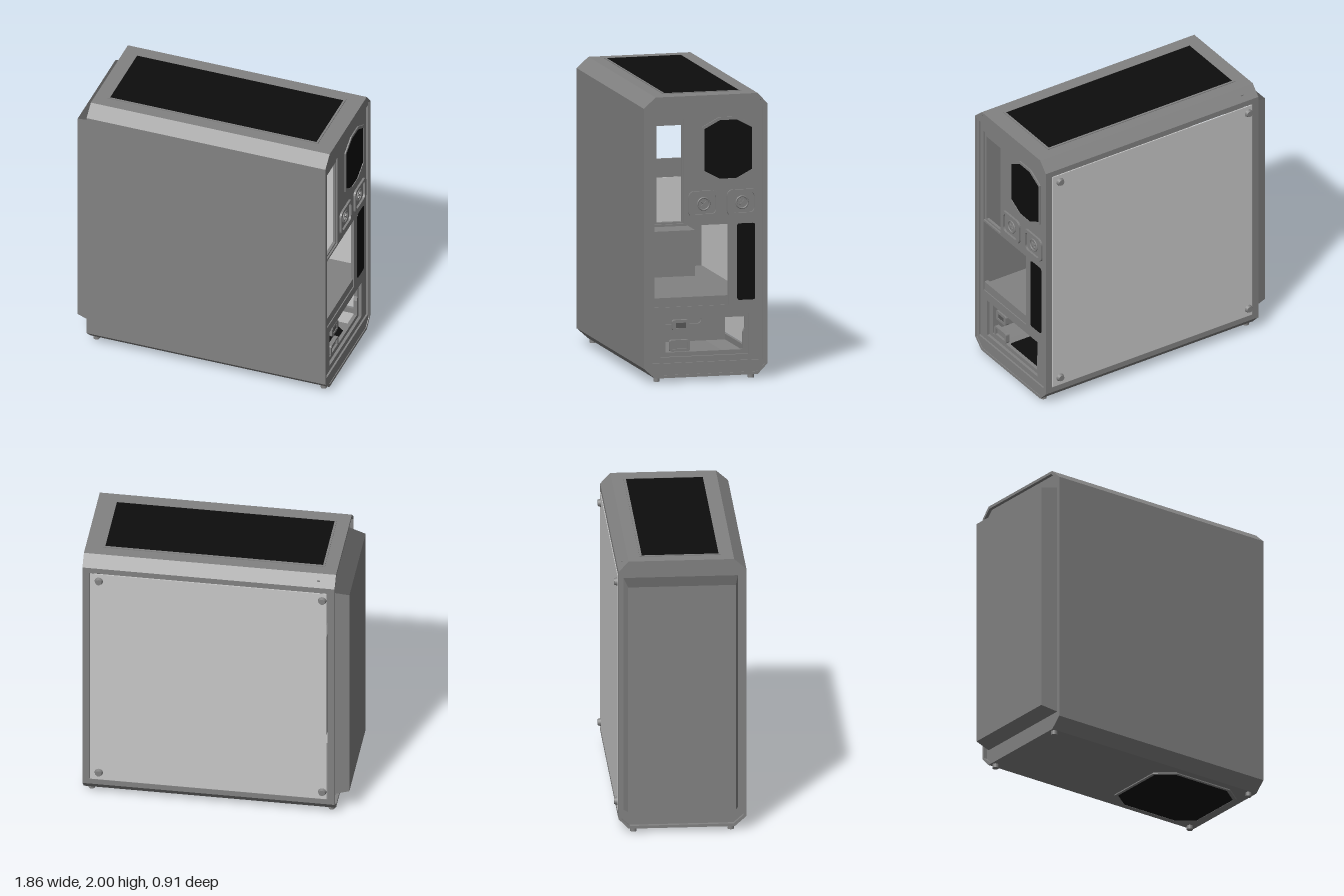
import * as THREE from 'three';

const flat = (name, color) => Object.assign(new THREE.MeshStandardMaterial({ color }), { name });

export function createModel() {
  const grey = flat('case grey', 0x828282);
  const dark = flat('dark vent grey', 0x585858);
  const black = flat('black mesh', 0x0d0d0d);
  const light = flat('side window', 0xc8c8c8);
  const model = new THREE.Group();
  model.name = 'computerCase';

  const add = (name, geo, mat, x = 0, y = 0, z = 0) => {
    const m = new THREE.Mesh(geo, mat);
    m.name = name;
    m.position.set(x, y, z);
    model.add(m);
    return m;
  };
  const box = (name, mat, x0, x1, y0, y1, z0, z1) =>
    add(name, new THREE.BoxGeometry(x1 - x0, y1 - y0, z1 - z0), mat, (x0 + x1) / 2, (y0 + y1) / 2, (z0 + z1) / 2);

  // Outline helpers: points are [across, up]
  const pts = a => a.map(p => new THREE.Vector2(p[0], p[1]));
  const rect = (a0, a1, b0, b1) => [[a0, b0], [a1, b0], [a1, b1], [a0, b1]];
  const cut = (a0, a1, b0, b1, c, d = c) => [
    [a0 + c, b0], [a1 - c, b0], [a1, b0 + d], [a1, b1 - d],
    [a1 - c, b1], [a0 + c, b1], [a0, b1 - d], [a0, b0 + d]];
  // Rounded rectangle, used for slots and grommets
  const round = (a0, a1, b0, b1, r) => {
    const out = [];
    [[a1 - r, b1 - r], [a0 + r, b1 - r], [a0 + r, b0 + r], [a1 - r, b0 + r]].forEach(([a, b], q) => {
      for (let i = 0; i <= 5; i++) {
        const t = (q + i / 5) * Math.PI / 2;
        out.push([a + r * Math.cos(t), b + r * Math.sin(t)]);
      }
    });
    return out;
  };
  const extrude = (outline, holes, depth) => {
    const s = new THREE.Shape(pts(outline));
    holes.forEach(h => s.holes.push(new THREE.Path(pts(h))));
    return new THREE.ExtrudeGeometry(s, { depth, bevelEnabled: false });
  };
  // Plate facing the ends: across = -z, up = y, thickness x0..x1
  const plateX = (name, mat, outline, holes, x0, x1) =>
    add(name, extrude(outline, holes, x1 - x0).rotateY(Math.PI / 2), mat, x0);
  // Horizontal plate: across = x, up = -z, thickness y0..y1
  const plateY = (name, mat, outline, holes, y0, y1) =>
    add(name, extrude(outline, holes, y1 - y0).rotateX(-Math.PI / 2), mat, 0, y0);

  // Outer shell: top, blank side and bottom with bevelled edges
  const outer = [[0.43, 1.92], [0.36, 1.995], [-0.37, 1.995], [-0.455, 1.92],
    [-0.455, 0.1], [-0.375, 0.028], [0.36, 0.028], [0.43, 0.1]];
  const inner = [[0.41, 0.1], [0.352, 0.048], [-0.367, 0.048], [-0.435, 0.109],
    [-0.435, 1.911], [-0.362, 1.975], [0.352, 1.975], [0.41, 1.92]];
  plateX('outerShell', grey, [...outer, ...inner], [], -0.825, 0.935);

  // Window side: frame, glass and thumb screws
  add('windowFrame', extrude(rect(-0.825, 0.935, 0.1, 1.92), [rect(-0.775, 0.885, 0.14, 1.88)], 0.02),
    grey, 0, 0, -0.43);
  box('sideWindow', light, -0.77, 0.88, 0.145, 1.875, -0.434, -0.426);
  for (const x of [-0.74, 0.82]) for (const y of [0.205, 1.82]) {
    add('thumbScrew', new THREE.CylinderGeometry(0.022, 0.03, 0.022, 16).rotateX(-Math.PI / 2), grey, x, y, -0.444);
  }

  // Top vent with a slim trim
  plateY('topVentTrim', grey, rect(-0.735, 0.815, -0.283, 0.278), [rect(-0.72, 0.8, -0.27, 0.262)], 1.99, 2);
  box('topVent', black, -0.72, 0.8, 1.99, 1.998, -0.262, 0.27);

  // Bottom vent and feet
  plateY('bottomVentTrim', grey, cut(0.16, 0.88, -0.32, 0.325, 0.13, 0.1),
    [cut(0.18, 0.86, -0.3, 0.305, 0.125, 0.095)], 0.02, 0.03);
  plateY('bottomVent', black, cut(0.18, 0.86, -0.3, 0.305, 0.125, 0.095), [], 0.022, 0.03);
  plateY('bottomVentInside', black, cut(0.18, 0.86, -0.3, 0.305, 0.125, 0.095), [], 0.047, 0.053);
  for (const x of [-0.79, 0.885]) for (const z of [-0.325, 0.35]) {
    add('foot', new THREE.CylinderGeometry(0.022, 0.022, 0.035, 16), grey, x, 0.0175, z);
  }

  // Rear rim and recessed rear wall with its openings
  plateX('rearRim', grey, outer, [rect(-0.415, 0.395, 0.13, 1.9)], 0.9, 0.93);
  const ioHole = rect(-0.375, -0.165, 1.1, 1.83);
  const slotHole = rect(-0.375, 0.155, 0.52, 1.085);
  plateX('rearWall', grey, rect(-0.42, 0.4, 0.12, 1.91),
    [ioHole, slotHole, rect(-0.33, 0.3, 0.17, 0.455)], 0.897, 0.917);
  plateX('portFrame', grey, ioHole, [rect(-0.355, -0.175, 1.112, 1.79)], 0.885, 0.905);
  box('slotLedge', grey, 0.88, 0.91, 0.52, 0.585, -0.155, 0.375);

  // Rear fan grille and tall narrow vent
  plateX('fanTrim', grey, cut(-0.035, 0.34, 1.385, 1.835, 0.12, 0.065),
    [cut(-0.018, 0.322, 1.405, 1.815, 0.11, 0.058)], 0.915, 0.926);
  plateX('fanGrille', black, cut(-0.018, 0.322, 1.405, 1.815, 0.11, 0.058), [], 0.913, 0.921);
  plateX('rearVent', black, round(0.218, 0.346, 0.55, 1.085, 0.015), [], 0.914, 0.921);

  // Two hose grommets with crossed plugs
  for (const u of [-0.022, 0.253]) {
    plateX('grommetRim', grey, round(u - 0.11, u + 0.11, 1.142, 1.325, 0.04),
      [round(u - 0.085, u + 0.085, 1.163, 1.304, 0.03)], 0.915, 0.932);
    add('grommetRing', new THREE.TorusGeometry(0.042, 0.006, 8, 24).rotateY(Math.PI / 2), grey, 0.919, 1.233, -u);
    for (const s of [-1, 1]) {
      add('grommetCross', new THREE.BoxGeometry(0.01, 0.045, 0.008), grey, 0.92, 1.233, -u).rotation.x = s * Math.PI / 4;
    }
  }

  // Power supply bay with switch and socket
  plateX('powerBezel', grey, rect(-0.34, 0.31, 0.16, 0.465),
    [[[-0.29, 0.2], [0.265, 0.2], [0.265, 0.32], [0.278, 0.35], [0.278, 0.43], [-0.29, 0.43]]], 0.872, 0.897);
  plateX('switchFrame', grey, round(-0.24, -0.12, 0.35, 0.425, 0.015), [rect(-0.215, -0.145, 0.368, 0.405)], 0.875, 0.905);
  box('powerSwitch', dark, 0.875, 0.9, 0.368, 0.405, 0.145, 0.215);
  plateX('socketFrame', grey, round(-0.26, -0.115, 0.205, 0.285, 0.015), [rect(-0.242, -0.133, 0.222, 0.27)], 0.875, 0.905);
  box('powerSocket', grey, 0.875, 0.888, 0.222, 0.27, 0.133, 0.242);
  plateX('powerBayWall', grey, rect(-0.43, 0.41, 0.1, 0.5), [round(-0.28, 0.24, 0.38, 0.43, 0.024),
    round(-0.08, 0.24, 0.22, 0.28, 0.028)], -0.12, -0.1);
  box('powerBayBack', grey, -0.16, -0.14, 0.1, 0.34, -0.41, 0.43);

  // Interior: shroud, drive box and fan wall
  box('shroud', grey, -0.7, 0.895, 0.5, 0.52, -0.41, 0.435);
  box('driveBox', grey, -0.7, -0.3, 0.52, 0.84, -0.25, 0.34);
  plateX('fanWall', grey, rect(-0.3, 0.4, 0.45, 1.96), [
    [[-0.24, 0.6], [-0.18, 0.6], [-0.18, 1.15], [-0.24, 1.15]],
    [[-0.27, 1.36], [-0.17, 1.28], [0.3, 1.28], [0.3, 1.7], [-0.17, 1.7], [-0.27, 1.6]],
    round(-0.275, -0.245, 1.23, 1.33, 0.014), round(-0.275, -0.245, 1.62, 1.71, 0.014)], -0.72, -0.7);
  plateX('lightFanPanel', light, rect(-0.18, 0.3, 0.55, 1.15), [], -0.7, -0.693);

  // Front end: recessed frame and tapered cover, open at the back
  plateX('frontFrame', grey, outer, [rect(-0.36, 0.37, 0.2, 1.82)], -0.8, -0.78);
  const cover = new THREE.BoxGeometry(1, 1, 1);
  const p = cover.attributes.position;
  for (let i = 0; i < p.count; i++) {
    const back = p.getX(i) > 0;
    p.setXYZ(i, back ? -0.79 : -0.92,
      p.getY(i) > 0 ? (back ? 1.868 : 1.84) : (back ? 0.157 : 0.185),
      p.getZ(i) > 0 ? (back ? 0.4 : 0.375) : (back ? -0.395 : -0.37));
  }
  cover.setIndex(Array.from(cover.index.array).slice(6));
  cover.clearGroups();
  cover.addGroup(0, 6, 0);
  cover.addGroup(6, 6, 1);
  cover.addGroup(12, 18, 0);
  cover.computeVertexNormals();
  add('frontCover', cover, [grey, dark]);

  return model;
}
